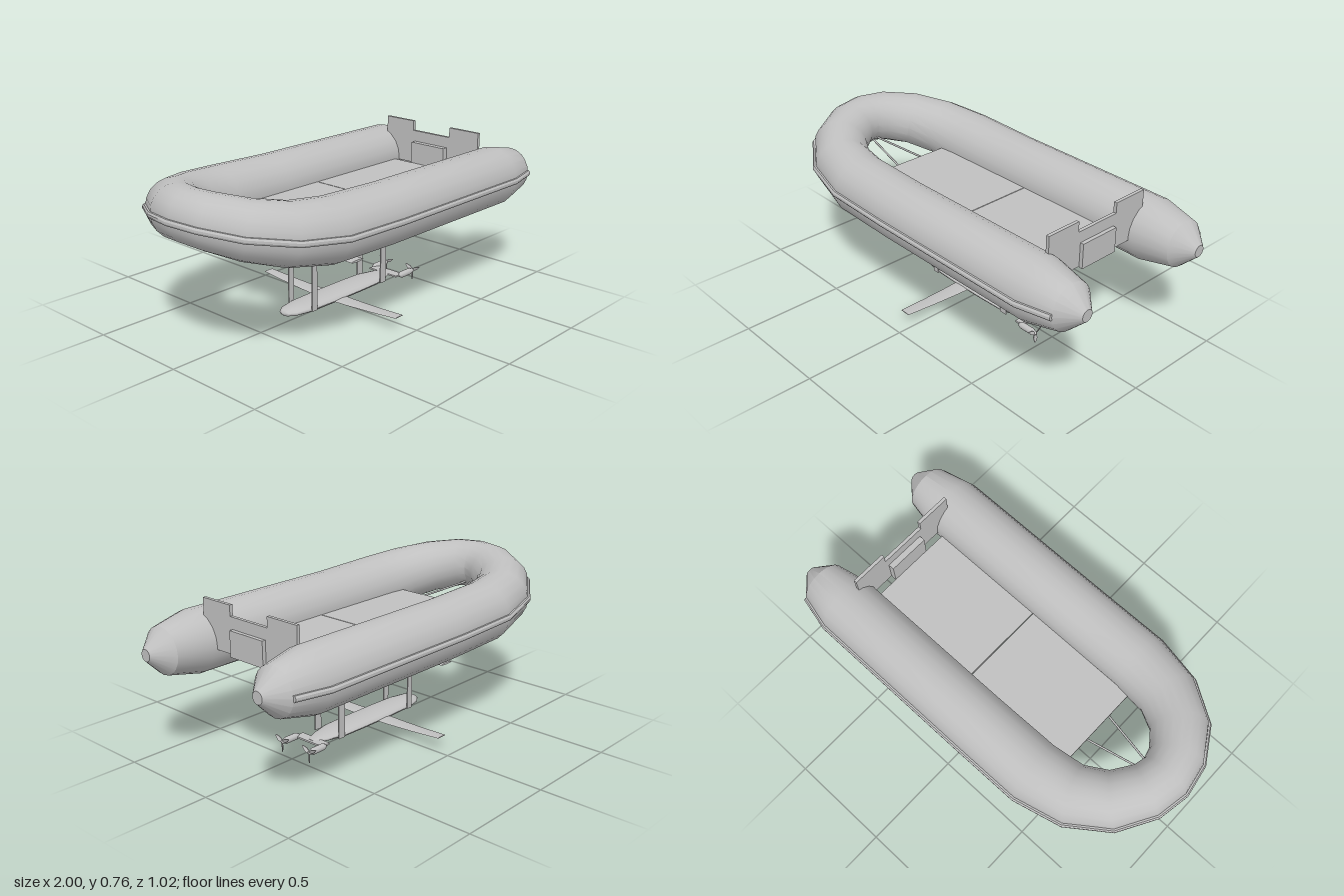
import * as THREE from 'three';
import { toCreasedNormals } from 'three/addons/utils/BufferGeometryUtils.js';

const V = (x, y, z) => new THREE.Vector3(x, y, z);
const grey = new THREE.MeshStandardMaterial({ color: 0xc0c0c0 });
grey.name = 'plain grey';

// Closed skin through a row of rings, capped at both ends
function loft(rings, crease = 0.55) {
  const n = rings[0].length;
  const tris = [];
  for (let i = 0; i < rings.length - 1; i++) {
    for (let j = 0; j < n; j++) {
      const k = (j + 1) % n;
      const a = rings[i][j], b = rings[i][k], c = rings[i + 1][k], d = rings[i + 1][j];
      tris.push([a, b, c], [a, c, d]);
    }
  }
  const first = rings[0], last = rings[rings.length - 1];
  for (let j = 1; j < n - 1; j++) {
    tris.push([first[0], first[j + 1], first[j]], [last[0], last[j], last[j + 1]]);
  }
  // keep faces pointing outward whichever way the rings run
  let volume = 0;
  for (const [a, b, c] of tris) volume += a.dot(V().crossVectors(b, c));
  if (volume < 0) tris.forEach((t) => t.reverse());
  const geo = new THREE.BufferGeometry().setFromPoints(tris.flat());
  return toCreasedNormals(geo, crease);
}

function createModel() {
  const model = new THREE.Group();
  model.name = 'hydrofoilBoat';

  const add = (name, geo, x = 0, y = 0, z = 0, parent = model) => {
    const mesh = new THREE.Mesh(geo, grey);
    mesh.name = name;
    mesh.position.set(x, y, z);
    parent.add(mesh);
    return mesh;
  };
  // box given by its low and high corners
  const box = (name, x0, x1, y0, y1, z0, z1) =>
    add(name, new THREE.BoxGeometry(x1 - x0, y1 - y0, z1 - z0),
      (x0 + x1) / 2, (y0 + y1) / 2, (z0 + z1) / 2);
  // round bar between two points
  const bar = (name, a, b, r) => {
    const mesh = add(name, new THREE.CylinderGeometry(r, r, a.distanceTo(b), 8));
    mesh.position.lerpVectors(a, b, 0.5);
    mesh.quaternion.setFromUnitVectors(V(0, 1, 0), b.clone().sub(a).normalize());
  };

  // Inflated hull: centre line and radius from bow to stern, mirrored
  const half = [
    [-0.87, 0.655, 0, 0.118], [-0.85, 0.648, 0.10, 0.122], [-0.77, 0.622, 0.225, 0.13],
    [-0.63, 0.59, 0.315, 0.138], [-0.435, 0.565, 0.351, 0.147], [-0.1, 0.556, 0.353, 0.146],
    [0.75, 0.555, 0.353, 0.146], [0.915, 0.555, 0.35, 0.11], [1, 0.555, 0.35, 0.028],
  ];
  const path = [
    ...half.slice().reverse(),
    ...half.slice(1).map(([x, y, z, r]) => [x, y, -z, r]),
  ];
  const frames = path.map(([x, y, z, r], i) => {
    const p = path[Math.max(i - 1, 0)], q = path[Math.min(i + 1, path.length - 1)];
    const t = V(q[0] - p[0], q[1] - p[1], q[2] - p[2]).normalize();
    const out = V(0, 1, 0).cross(t).normalize();
    if (Math.abs(x) > 0.7 && x > 0) out.set(0, 0, Math.sign(z)); // square stern ends
    const up = x > 0.7 ? V(0, 1, 0) : V().crossVectors(t, out);
    return { c: V(x, y, z), out, up, r };
  });
  const point = (f, o, u) => f.c.clone().addScaledVector(f.out, o).addScaledVector(f.up, u);
  const sides = 20;
  add('inflatedHull', loft(frames.map((f) => Array.from({ length: sides }, (_, j) => {
    const a = (j / sides) * Math.PI * 2;
    return point(f, Math.cos(a) * f.r, Math.sin(a) * f.r);
  }))));

  // Rubbing strake around the outside of the hull
  const strake = [[-0.012, -0.014], [0.006, -0.014], [0.012, -0.005],
    [0.012, 0.005], [0.006, 0.014], [-0.012, 0.014]];
  add('rubbingStrake', loft(frames.slice(1, -1).map((f) =>
    strake.map(([o, u]) => point(f, f.r + o, u))), 0.5));

  // Floor panels and the frame beneath
  box('frontFloorPanel', -0.5, 0.087, 0.542, 0.552, -0.215, 0.215);
  box('rearFloorPanel', 0.091, 0.68, 0.542, 0.552, -0.215, 0.215);
  for (const x of [-0.23, 0.255]) box('floorCrossBeam', x - 0.012, x + 0.012, 0.531, 0.542, -0.21, 0.21);
  for (const s of [1, -1]) {
    box('floorBeam', -0.5, 0.715, 0.532, 0.543, s * 0.078 - 0.006, s * 0.078 + 0.006);
    bar('bowBrace', V(-0.48, 0.538, s * 0.078), V(-0.79, 0.57, s * 0.015), 0.005);
  }

  // Notched transom with motor pads
  const outline = new THREE.Shape([
    [-0.29, 0.545], [0.29, 0.545], [0.29, 0.765], [0.115, 0.765],
    [0.115, 0.715], [-0.115, 0.715], [-0.115, 0.765], [-0.29, 0.765],
  ].map(([x, y]) => new THREE.Vector2(x, y)));
  const transom = add('transom',
    new THREE.ExtrudeGeometry(outline, { depth: 0.016, bevelEnabled: false }), 0.711, 0, 0);
  transom.rotation.y = Math.PI / 2;
  box('innerMotorPad', 0.682, 0.711, 0.54, 0.66, -0.102, 0.102);
  box('outerMotorPad', 0.727, 0.745, 0.54, 0.66, -0.102, 0.102);

  // Lens-shaped foil section at one spanwise station
  const section = (x0, x1, y, thick, z) => Array.from({ length: 10 }, (_, j) => {
    const a = (j / 10) * Math.PI * 2;
    return V((x0 + x1) / 2 + Math.cos(a) * (x1 - x0) / 2, y + Math.sin(a) * thick / 2, z);
  });
  add('upperFoil', loft([-0.32, 0.32].map((z) => section(-0.245, -0.165, 0.357, 0.01, z)), 0.8));
  add('lowerWing', loft([-0.43, -0.28, -0.14, 0, 0.14, 0.28, 0.43].map((z) => {
    const k = Math.abs(z) / 0.43;
    return section(-0.095 + 0.025 * k, 0 - 0.015 * k, 0.054 + 0.015 * k * k, 0.011 - 0.007 * k, z);
  }), 0.8));

  // Struts carrying the pod
  for (const s of [1, -1]) {
    const z = s * 0.077;
    box('frontStrut', -0.246, -0.214, 0.055, 0.535, z - 0.003, z + 0.003);
    box('rearStrut', 0.235, 0.274, 0.055, 0.535, z - 0.003, z + 0.003);
  }

  // Flattened pod: x, half width, half height
  add('pod', loft([
    [-0.362, 0.008, 0.004], [-0.352, 0.03, 0.013], [-0.32, 0.052, 0.02], [-0.24, 0.07, 0.023],
    [-0.1, 0.075, 0.024], [0.1, 0.075, 0.024], [0.22, 0.072, 0.022], [0.31, 0.05, 0.016],
    [0.38, 0.022, 0.007],
  ].map(([x, w, h]) => Array.from({ length: 20 }, (_, j) => {
    const a = (j / 20) * Math.PI * 2;
    return V(x, 0.058 + Math.sin(a) * h, Math.cos(a) * w);
  })), 0.9));

  // Twin thrusters with three-bladed propellers
  box('thrusterArm', 0.345, 0.395, 0.055, 0.063, -0.087, 0.087);
  const profile = [[0, -0.06], [0.01, -0.055], [0.016, -0.04], [0.016, 0.025],
    [0.011, 0.035], [0.011, 0.045], [0, 0.056]].map(([r, y]) => new THREE.Vector2(r, y));
  const blade = loft([[0.006, 0.006], [0.025, 0.008], [0.049, 0.002]].map(([r, w]) => [
    V(-0.002 - w * 0.5, r, -w), V(0.002 - w * 0.5, r, -w),
    V(0.002 + w * 0.5, r, w), V(-0.002 + w * 0.5, r, w)]));
  for (const s of [1, -1]) {
    const thruster = new THREE.Group();
    thruster.name = s > 0 ? 'leftThruster' : 'rightThruster';
    thruster.position.set(0.43, 0.059, s * 0.087);
    model.add(thruster);
    add('thrusterBody', new THREE.LatheGeometry(profile, 14), 0, 0, 0, thruster)
      .rotation.z = -Math.PI / 2;
    for (let i = 0; i < 3; i++) {
      add('propellerBlade', blade, 0.046, 0, 0, thruster)
        .rotation.x = Math.PI + (i * Math.PI * 2) / 3;
    }
  }

  // rest the lowest point on the ground
  const bounds = new THREE.Box3().setFromObject(model, true);
  model.children.forEach((part) => { part.position.y -= bounds.min.y; });
  return model;
}

export { createModel };
